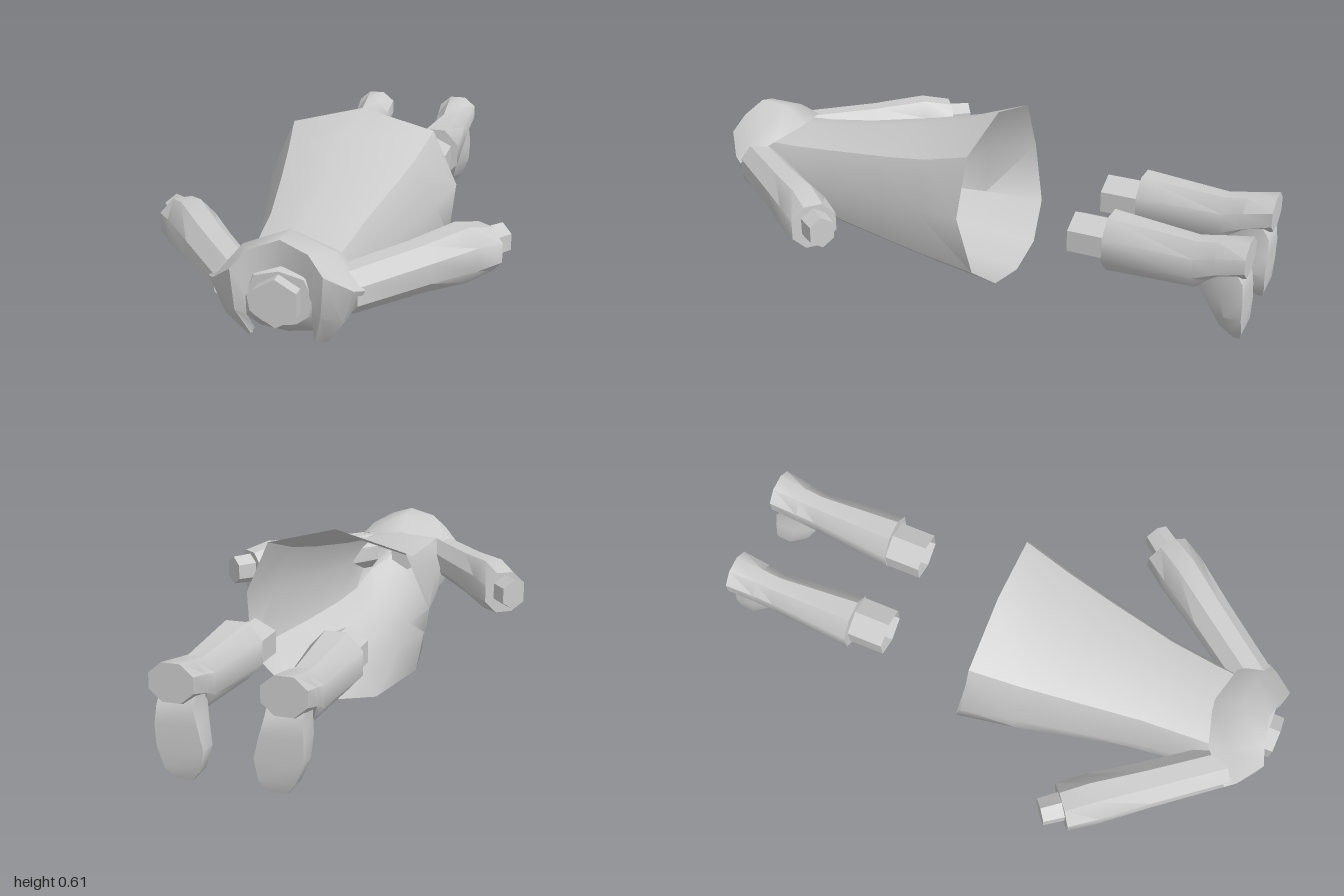
import * as THREE from 'three';
import { toCreasedNormals } from 'three/addons/utils/BufferGeometryUtils.js';

const material = new THREE.MeshStandardMaterial({ color: 0xcccccc, side: THREE.DoubleSide });

function mesh(geometry, name, parent) {
  const m = new THREE.Mesh(geometry, material);
  m.name = name;
  parent.add(m);
  return m;
}

// Joins rows of points [x, y, z] into a skin; closed rows wrap around
function skin(rows, { closed = true, capStart = false, capEnd = false, crease = 0.75 } = {}) {
  const n = rows[0].length, pos = rows.flat(2), index = [];
  const steps = closed ? n : n - 1;
  for (let i = 0; i < rows.length - 1; i++) {
    for (let j = 0; j < steps; j++) {
      const k = (j + 1) % n;
      const a = i * n + j, b = i * n + k, c = a + n, d = b + n;
      index.push(a, b, d, a, d, c);
    }
  }
  const last = (rows.length - 1) * n;
  for (let j = 1; j < n - 1; j++) {
    if (capStart) index.push(0, j + 1, j);
    if (capEnd) index.push(last, last + j, last + j + 1);
  }
  const g = new THREE.BufferGeometry();
  g.setAttribute('position', new THREE.Float32BufferAttribute(pos, 3));
  g.setIndex(index);
  return toCreasedNormals(g, crease);
}

// Scales a unit profile along z; sections are [z, cx, cy, rx, ry, tilt]
function loft(profile, sections, options) {
  return skin(sections.map(([z, cx, cy, rx, ry, tilt = 0]) =>
    profile.map(([u, v]) => [cx + u * rx, cy + v * ry, z + tilt * Math.min(0, v)])), options);
}

function polygon(n, turn = 0) {
  return Array.from({ length: n }, (_, i) => {
    const a = turn + (i / n) * Math.PI * 2;
    return [Math.cos(a), Math.sin(a)];
  });
}

const round8 = polygon(8, Math.PI / 8);
const hex = polygon(6, Math.PI / 6);

function buildDress(parent) {
  const profile = [[1, 0.15], [0.75, 0.78], [0, 1], [-0.75, 0.78], [-1, 0.15],
    [-0.91, -0.55], [-0.51, -0.9], [0, -1], [0.51, -0.9], [0.91, -0.55]];
  mesh(loft(profile, [
    [-0.045, 0, 0.303, 0.34, 0.303, 0.075],
    [0.13, 0, 0.285, 0.3, 0.255],
    [0.3, 0, 0.275, 0.26, 0.225],
    [0.55, 0, 0.268, 0.205, 0.183],
    [0.72, 0, 0.268, 0.185, 0.158],
    [0.88, 0, 0.29, 0.17, 0.12],
    [0.96, 0, 0.31, 0.1, 0.085],
  ], { capEnd: true }), 'dress', parent);
  // Neck stump
  mesh(loft(hex, [[0.88, 0, 0.31, 0.078, 0.078], [1, 0, 0.31, 0.075, 0.076]],
    { capStart: true, capEnd: true }), 'neck', parent);
}

// Wide collar over the shoulders, open at the chest
function buildCollar(parent) {
  const half = [
    [[0, 0.42, 0.75], [0.15, 0.40, 0.79], [0.24, 0.33, 0.89], [0.19, 0.24, 0.88], [0.12, 0.14, 0.85]],
    [[0, 0.48, 0.835], [0.14, 0.43, 0.86], [0.215, 0.34, 0.925], [0.18, 0.23, 0.92], [0.12, 0.15, 0.89]],
    [[0, 0.485, 0.94], [0.09, 0.455, 0.96], [0.14, 0.40, 0.985], [0.13, 0.27, 0.98], [0.1, 0.175, 0.93]],
    [[0, 0.39, 0.93], [0.065, 0.37, 0.945], [0.1, 0.31, 0.965], [0.1, 0.25, 0.96], [0.09, 0.19, 0.92]],
  ];
  const rows = half.map((row) => [
    ...row.slice(1).reverse(),
    ...row.map(([x, y, z]) => [-x, y, z]),
  ]);
  mesh(skin(rows, { closed: false, crease: 0.9 }), 'collar', parent);
}

// Sleeve with a hand stump, running outward and down from the shoulder
function buildArm(side, parent) {
  const arm = new THREE.Group();
  arm.name = side > 0 ? 'leftArm' : 'rightArm';
  arm.position.set(side * 0.165, 0.312, 0.86);
  arm.rotation.y = side * Math.atan2(0.355, -0.465);
  mesh(loft(round8, [
    [0, 0, 0, 0.075, 0.075],
    [0.28, 0, 0, 0.08, 0.084],
    [0.47, 0, 0, 0.088, 0.1],
    [0.575, 0, -0.006, 0.085, 0.082],
  ], { capStart: true, capEnd: true }), 'sleeve', arm);
  mesh(loft(hex, [[0.5, 0, 0.003, 0.055, 0.06], [0.65, 0, 0.003, 0.048, 0.055]],
    { capStart: true, capEnd: true }), 'handStump', arm);
  parent.add(arm);
}

// Boot lying on its back side, toe pointing down
function buildBoot(side, parent) {
  const boot = new THREE.Group();
  boot.name = side > 0 ? 'leftBoot' : 'rightBoot';
  boot.position.x = side * 0.17;
  mesh(loft(round8, [
    [-1, 0.006 * side, 0.342, 0.078, 0.066],
    [-0.9, 0.004 * side, 0.315, 0.071, 0.077],
    [-0.83, 0.004 * side, 0.29, 0.067, 0.09],
    [-0.53, 0, 0.299, 0.096, 0.104],
  ], { capStart: true, capEnd: true }), 'bootShaft', boot);
  // Open leg end
  mesh(loft(hex, [[-0.54, -0.01 * side, 0.295, 0.085, 0.075],
    [-0.4, -0.01 * side, 0.295, 0.085, 0.075]]), 'legStump', boot);
  // Foot with a flat sole
  const sole = [[1, 0], [0.95, 1], [-0.95, 1], [-1, 0], [-0.5, -1], [0.5, -1]];
  const foot = mesh(loft(sole, [
    [0.04, -0.02 * side, 0.972, 0.03, 0.018],
    [0.075, -0.02 * side, 0.96, 0.06, 0.04],
    [0.14, -0.015 * side, 0.944, 0.08, 0.056],
    [0.21, -0.005 * side, 0.925, 0.073, 0.075],
    [0.265, 0, 0.915, 0.062, 0.08],
    [0.31, 0, 0.905, 0.06, 0.06],
  ], { capStart: true, capEnd: true }), 'foot', boot);
  foot.rotation.x = -Math.PI / 2;
  parent.add(boot);
}

export function createModel() {
  const model = new THREE.Group();
  model.name = 'lyingFigure';
  buildDress(model);
  buildCollar(model);
  for (const side of [1, -1]) {
    buildArm(side, model);
    buildBoot(side, model);
  }
  return model;
}
